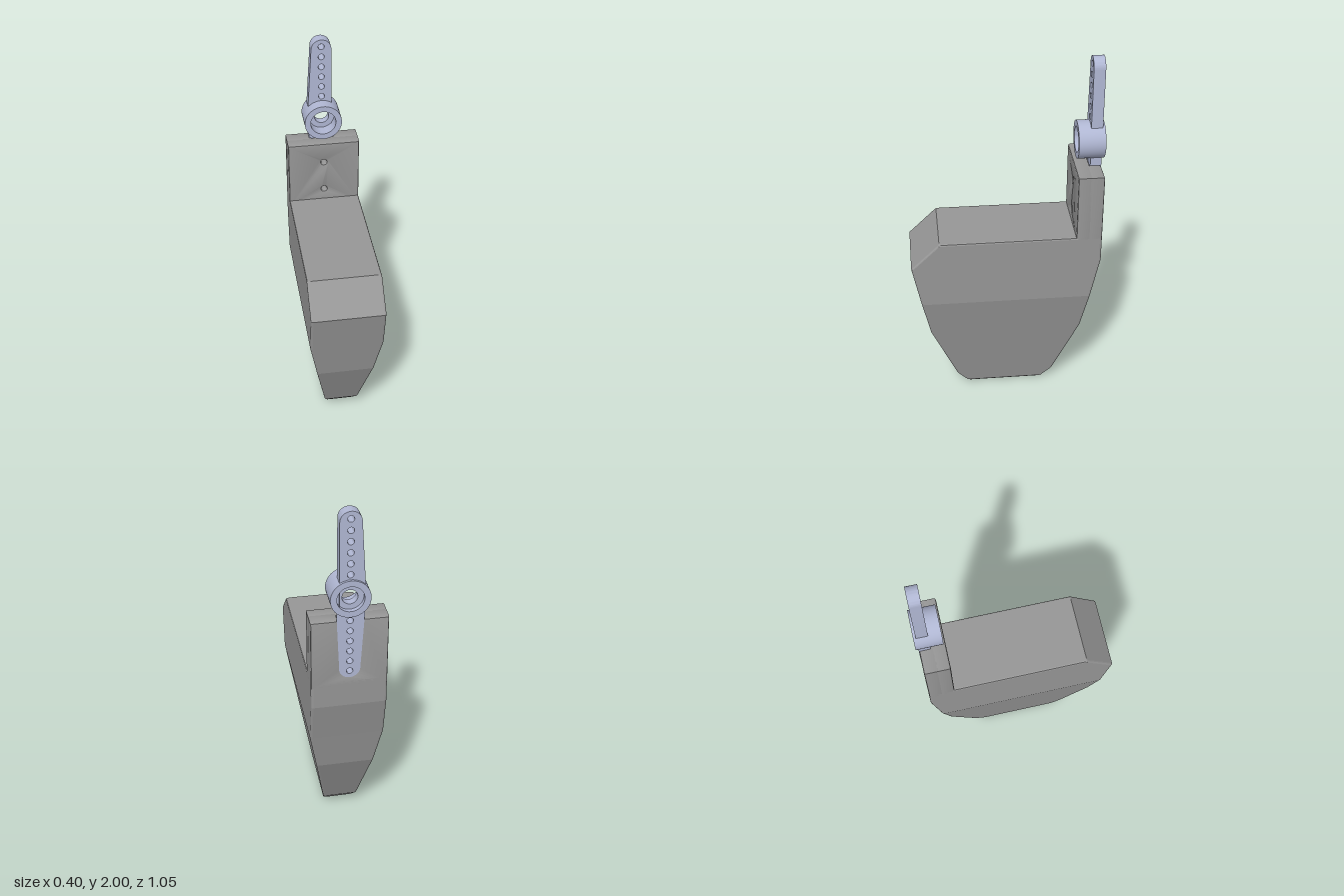
import * as THREE from 'three';
import { toCreasedNormals } from 'three/addons/utils/BufferGeometryUtils.js';

const HUB_Y = 1.53, ARM = 0.415, TIP_R = 0.055, ROOT = 0.08, EDGE = 0.01;

// Plate from a shape in the xy plane, filling z0..z1, with an optional inward edge bevel
function plate(shape, z0, z1, bevel = 0) {
  const geo = new THREE.ExtrudeGeometry(shape, {
    depth: z1 - z0 - 2 * bevel, curveSegments: 16, bevelEnabled: bevel > 0,
    bevelSize: bevel, bevelThickness: bevel, bevelOffset: -bevel, bevelSegments: 2,
  });
  geo.translate(0, 0, z0 + bevel);
  return toCreasedNormals(geo, 0.6);
}

function addHole(shape, x, y, r) {
  shape.holes.push(new THREE.Path().absarc(x, y, r, 0, Math.PI * 2, true));
}

// Loft of rounded rectangles; each level is [y, back z, front z, half width]
function loft(levels, r) {
  const rings = levels.map(([y, zb, zf, w]) => {
    const ring = [];
    const corners = [[w - r, zf - r], [r - w, zf - r], [r - w, zb + r], [w - r, zb + r]];
    corners.forEach(([cx, cz], c) => {
      for (let k = 0; k <= 3; k++) {
        const a = (c + k / 3) * Math.PI / 2;
        ring.push([cx + r * Math.cos(a), y, cz + r * Math.sin(a)]);
      }
    });
    return ring;
  });
  const pos = [];
  const tri = (...p) => p.forEach((v) => pos.push(...v));
  const n = rings[0].length, last = rings.length - 1;
  for (let i = 0; i < n; i++) {
    const j = (i + 1) % n;
    for (let l = 0; l < last; l++) {
      const a = rings[l], b = rings[l + 1];
      tri(a[i], b[i], b[j]);
      tri(a[i], b[j], a[j]);
    }
    tri([0, levels[0][0], 0], rings[0][i], rings[0][j]);
    tri([0, levels[last][0], 0], rings[last][j], rings[last][i]);
  }
  const geo = new THREE.BufferGeometry();
  geo.setAttribute('position', new THREE.Float32BufferAttribute(pos, 3));
  geo.computeVertexNormals();
  return geo;
}

export function createModel() {
  const model = new THREE.Group();
  const grey = new THREE.MeshStandardMaterial({ color: 0x969696 });
  grey.name = 'grey body';
  const blue = new THREE.MeshStandardMaterial({ color: 0xb0b7d3 });
  blue.name = 'pale blue plastic';
  const add = (name, geo, mat) => {
    const mesh = new THREE.Mesh(geo, mat);
    mesh.name = name;
    model.add(mesh);
  };

  // Blade: tapered below, straight sided above, with a chamfered nose
  add('blade', loft([
    [0, -0.2, 0.22, 0.075],
    [0.012, -0.212, 0.231, 0.087],
    [0.07, -0.27, 0.285, 0.097],
    [0.42, -0.415, 0.43, 0.159],
    [0.65, -0.46, 0.477, 0.2],
    [0.885, -0.51, 0.525, 0.2],
    [1.025, -0.51, 0.38, 0.2],
    [1.032, -0.51, 0.373, 0.197],
    [1.035, -0.51, 0.37, 0.19],
  ], 0.012), grey);

  // Post, front layer with two countersunk screw holes
  const front = new THREE.Shape([[-0.2, 1], [0.2, 1], [0.2, 1.4], [-0.2, 1.4]]
    .map(([x, y]) => new THREE.Vector2(x, y)));
  addHole(front, 0, 1.1, 0.016);
  addHole(front, 0, 1.28, 0.016);
  add('postFront', plate(front, -0.45, -0.37, EDGE), grey);

  // Post, rear layer with a pocket that takes the lower arm
  const rear = new THREE.Shape();
  const mouth = ROOT - (ROOT - TIP_R) * (HUB_Y - 1.4) / ARM - EDGE;
  rear.moveTo(-0.2, 1);
  rear.lineTo(0.2, 1);
  rear.lineTo(0.2, 1.4);
  rear.lineTo(mouth, 1.4);
  rear.absarc(0, HUB_Y - ARM, TIP_R - EDGE, 0, -Math.PI, true);
  rear.lineTo(-mouth, 1.4);
  rear.lineTo(-0.2, 1.4);
  add('postRear', plate(rear, -0.51, -0.425, EDGE), grey);

  // Double arm, tapering to rounded tips, with a row of holes each way
  const arm = new THREE.Shape();
  arm.moveTo(ROOT, HUB_Y);
  arm.absarc(0, HUB_Y + ARM, TIP_R, 0, Math.PI, false);
  arm.lineTo(-ROOT, HUB_Y);
  arm.absarc(0, HUB_Y - ARM, TIP_R, Math.PI, Math.PI * 2, false);
  arm.closePath();
  addHole(arm, 0, HUB_Y, 0.074);
  for (const side of [1, -1]) {
    for (let i = 0; i < 6; i++) addHole(arm, 0, HUB_Y + side * (0.13 + i * 0.06), 0.017);
  }
  add('hornArms', plate(arm, -0.512, -0.45), blue);

  // Hub: stepped bore with a deep front socket and a shallow rear one
  const profile = [
    [0.04, -0.5], [0.07, -0.5], [0.07, -0.525], [0.103, -0.525], [0.103, -0.382],
    [0.07, -0.382], [0.07, -0.455], [0.04, -0.455], [0.04, -0.5],
  ].map(([r, z]) => new THREE.Vector2(r, z));
  const hub = toCreasedNormals(new THREE.LatheGeometry(profile, 48), 0.6);
  hub.rotateX(Math.PI / 2);
  hub.translate(0, HUB_Y, 0);
  add('hornHub', hub, blue);

  return model;
}
